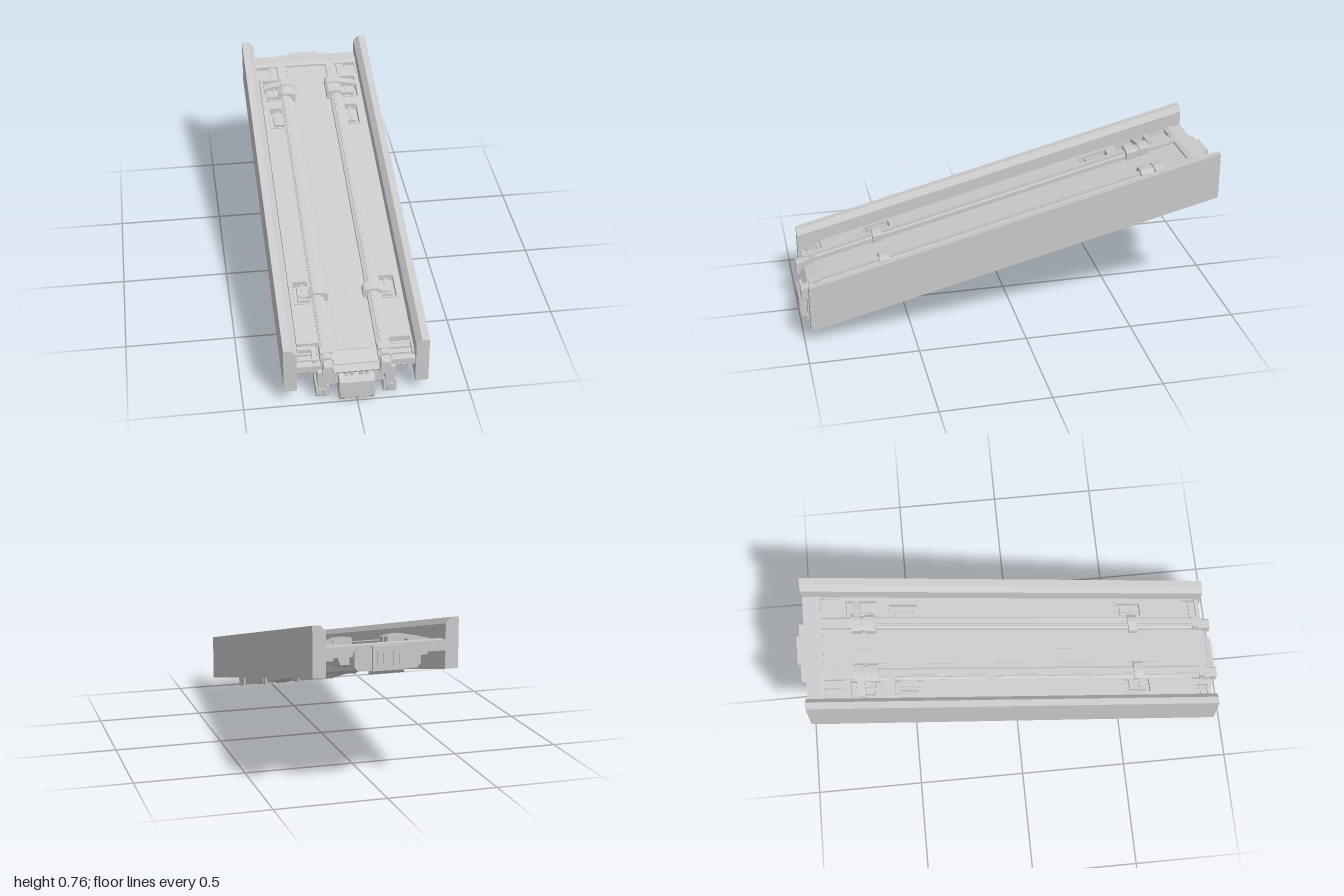
import * as THREE from 'three';

const SLOPE = 0.2495;

export function createModel() {
  const model = new THREE.Group();
  const mat = new THREE.MeshStandardMaterial({ color: 0xcccccc, flatShading: true, side: THREE.DoubleSide });
  // parts are laid out level, then sheared onto the ramp so that end faces stay vertical
  const shear = new THREE.Matrix4().set(1, 0, 0, 0, 0, 1, -SLOPE, SLOPE * 0.97, 0, 0, 1, 0, 0, 0, 0, 1);

  function add(name, geo) {
    geo.applyMatrix4(shear);
    geo.computeVertexNormals();
    const mesh = new THREE.Mesh(geo, mat);
    mesh.name = name;
    model.add(mesh);
  }
  // box given by its limits
  function box(name, x0, x1, y0, y1, z0, z1) {
    const g = new THREE.BoxGeometry(Math.abs(x1 - x0), y1 - y0, z1 - z0);
    add(name, g.translate((x0 + x1) / 2, (y0 + y1) / 2, (z0 + z1) / 2));
  }
  const pair = (name, x0, x1, ...r) => {
    for (const s of [-1, 1]) box(name, s * x0, s * x1, ...r);
  };
  const extrude = (shape, depth) => new THREE.ExtrudeGeometry(shape, { depth, bevelEnabled: false });
  const shapeOf = pts => new THREE.Shape(pts.map(p => new THREE.Vector2(p[0], p[1])));
  // x-y section drawn out along z, mirrored to both sides
  function section(name, pts, z0, z1) {
    for (const s of [-1, 1])
      add(name, extrude(shapeOf(pts.map(p => [s * p[0], p[1]])), z1 - z0).translate(0, 0, z0));
  }
  // z-y side profile drawn out between x0 and x1
  function profile(name, pts, x0, x1) {
    add(name, extrude(shapeOf(pts.map(p => [-p[0], p[1]])), x1 - x0).rotateY(Math.PI / 2).translate(x0, 0, 0));
  }
  function pipe(name, x, y, z0, z1, r) {
    add(name, new THREE.CylinderGeometry(r, r, z1 - z0, 8).rotateX(Math.PI / 2).translate(x, y, (z0 + z1) / 2));
  }

  // side walls with chamfered inner top edge
  section('sideWall', [[0.262, 0.06], [0.32, 0.06], [0.32, 0.283], [0.287, 0.283], [0.262, 0.256]], -0.962, 0.968);

  // deck: floor plate, raised side panels with recessed pockets, lower centre strip
  box('floorPlate', -0.265, 0.265, 0.145, 0.175, -0.9, 0.87);
  const pockets = [[0.16, 0.242, -0.77, -0.62], [0.16, 0.225, -0.57, -0.43], [0.165, 0.235, 0.52, 0.65]];
  for (const s of [-1, 1]) {
    const shape = shapeOf([[s * 0.155, -0.79], [s * 0.25, -0.79], [s * 0.25, 0.86], [s * 0.155, 0.86]]);
    for (const [a, b, c, d] of pockets)
      shape.holes.push(new THREE.Path([[a, c], [b, c], [b, d], [a, d]].map(p => new THREE.Vector2(s * p[0], p[1]))));
    add('sidePanel', extrude(shape, 0.027).rotateX(Math.PI / 2).translate(0, 0.202, 0));
  }
  pair('edgeLedge', 0.253, 0.264, 0.16, 0.185, -0.88, 0.93);
  pair('rearStep', 0.158, 0.19, 0.17, 0.186, -0.88, -0.79);
  profile('centreDeck', [[-0.9, 0.14], [0.97, 0.14], [0.975, 0.15], [0.95, 0.175], [0.9, 0.183], [-0.9, 0.183]], -0.1, 0.1);
  box('centreStrip', -0.07, 0.07, 0.18, 0.186, -0.86, 0.89);
  box('centreSeam', -0.001, 0.001, 0.18, 0.187, -0.86, -0.45);
  box('centreSeam', -0.001, 0.001, 0.18, 0.187, 0.1, 0.6);

  // pocket rims and the latch inside each pocket
  for (const [a, b, c, d] of pockets) {
    pair('pocketRim', b - 0.006, b, 0.17, 0.206, c, d);
    for (const z of [c, d - 0.006]) pair('pocketRim', a, b, 0.17, 0.206, z, z + 0.006);
    const m = (c + d) / 2;
    pair('pocketLatch', a, b - 0.02, 0.17, 0.198, m - 0.04, m + 0.04);
    pair('latchBar', a + 0.018, a + 0.03, 0.19, 0.205, m - 0.045, m + 0.045);
  }

  // cross beams at both ends
  profile('rearBeam', [[-0.962, 0.14], [-0.88, 0.14], [-0.88, 0.192], [-0.9, 0.195], [-0.962, 0.186]], -0.265, 0.265);
  box('frontBeam', -0.265, 0.265, 0.142, 0.162, 0.85, 0.955);
  box('frontBeamLip', -0.265, 0.265, 0.155, 0.175, 0.935, 0.955);
  for (const z of [0.87, 0.9]) pair('frontStep', 0.16, 0.25, 0.155, 0.172, z, z + 0.018);
  // bracket at the front of one side only
  box('frontBracket', -0.25, -0.17, 0.16, 0.19, 0.862, 0.88);
  box('frontBracket', -0.19, -0.17, 0.16, 0.19, 0.88, 0.94);

  // rails with stepped section, low rear tails, end caps and clamps
  section('rail', [[0.098, 0.17], [0.156, 0.17], [0.156, 0.203], [0.146, 0.208], [0.146, 0.216],
    [0.111, 0.216], [0.111, 0.208], [0.098, 0.203]], -0.72, 0.955);
  pair('railTail', 0.104, 0.15, 0.17, 0.194, -0.88, -0.72);
  pair('railGroove', 0.119, 0.138, 0.214, 0.219, -0.7, 0.93);
  section('railCap', [[0.104, 0.14], [0.15, 0.14], [0.15, 0.195], [0.144, 0.203], [0.11, 0.203], [0.104, 0.195]], 0.93, 0.992);
  pair('railCollar', 0.1, 0.155, 0.17, 0.22, 0.9, 0.93);
  for (const z of [-0.745, -0.68, 0.575]) {
    section('railClamp', [[0.08, 0.183], [0.08, 0.218], [0.09, 0.226], [0.125, 0.231], [0.146, 0.229],
      [0.165, 0.215], [0.165, 0.183]], z, z + 0.045);
  }
  section('clampBridge', [[0.086, 0.183], [0.086, 0.217], [0.1, 0.223], [0.14, 0.223], [0.16, 0.21], [0.16, 0.183]], -0.7, -0.68);
  section('clampArm', [[0.145, 0.183], [0.145, 0.226], [0.19, 0.22], [0.235, 0.21], [0.235, 0.183]], -0.73, -0.7);
  section('clampArm', [[0.145, 0.183], [0.145, 0.222], [0.165, 0.212], [0.205, 0.208], [0.205, 0.183]], 0.595, 0.615);

  // tapering support runners and their front feet
  for (const s of [-1, 1]) {
    const x = s * 0.15;
    profile('supportRunner', [[0.955, 0.007], [0.955, 0.15], [-0.02, 0.15], [0.14, 0.044], [0.42, 0.02]], x - 0.02, x + 0.02);
    profile('foot', [[0.86, 0.006], [0.955, 0.003], [0.968, 0.02], [0.968, 0.07], [0.86, 0.07]], x - 0.029, x + 0.029);
    box('footColumn', x - 0.022, x + 0.022, 0.06, 0.15, 0.9, 0.968);
    for (const d of [-0.008, 0.008])
      box('footRib', x + d - 0.005, x + d + 0.005, 0.03, 0.058, 0.96, 0.975);
    for (let i = 0; i < 5; i++)
      box('runnerRib', x - 0.026, x + 0.026, 0.018, 0.06, 0.39 + i * 0.016, 0.398 + i * 0.016);
    // boxes outside the runners
    for (const z of [0.84, 0.62, 0.42])
      profile('sideBox', [[z - 0.06, 0.15], [z - 0.04, 0.08], [z + 0.06, 0.08], [z + 0.075, 0.1], [z + 0.075, 0.15]],
        Math.min(s * 0.17, s * 0.24), Math.max(s * 0.17, s * 0.24));
  }

  // front hitch: bevelled block with framed panel and small teeth
  profile('frontHitch', [[0.62, 0.05], [0.86, 0.01], [0.96, 0.003], [0.985, 0.008], [0.996, 0.03],
    [0.996, 0.112], [0.985, 0.122], [0.62, 0.122]], -0.078, 0.078);
  for (const y of [0.032, 0.074]) box('hitchPanel', -0.073, 0.073, y, y + 0.041, 0.99, 1);
  for (const x of [-0.045, -0.02, 0.02, 0.045]) {
    box('hitchTooth', x - 0.01, x + 0.01, 0.016, 0.025, 0.98, 0.995);
    box('hitchTooth', x - 0.008, x + 0.008, 0.12, 0.14, 0.94, 0.97);
  }
  box('frontSkirt', -0.125, 0.125, 0.062, 0.145, 0.56, 0.95);

  // underside pipes with cross brackets
  for (const x of [-0.06, -0.02, 0.02, 0.06]) {
    pipe('undersidePipe', x, 0.1, -0.3, 0.62, 0.012);
    pipe('undersidePipe', x * 0.85, 0.105, -0.78, -0.3, 0.012);
  }
  for (const z of [0.5, 0.1]) box('pipeBracket', -0.09, 0.09, 0.11, 0.148, z, z + 0.03);
  profile('middleBracket', [[-0.4, 0.148], [-0.34, 0.07], [-0.29, 0.054], [-0.27, 0.07], [-0.22, 0.148]], -0.085, 0.085);
  pair('middleWing', 0.085, 0.2, 0.1, 0.148, -0.36, -0.28);
  section('sideDuct', [[0.1, 0.148], [0.11, 0.105], [0.15, 0.105], [0.165, 0.148]], -0.8, -0.03);
  for (const z of [-0.75, -0.55, -0.1, 0.15, 0.35])
    for (let i = 0; i < 3; i++) pair('crossRib', 0.165, 0.264, 0.125, 0.148, z + i * 0.025, z + i * 0.025 + 0.012);

  // rear hitch: slotted block flanked by two shoulders
  profile('rearHitchHousing', [[-0.962, 0.075], [-0.962, 0.148], [-0.7, 0.148], [-0.76, 0.11]], -0.11, 0.11);
  profile('rearHitch', [[-0.94, 0.06], [-0.985, 0.06], [-0.996, 0.072], [-0.996, 0.178], [-0.94, 0.184]], -0.07, 0.07);
  section('rearShoulder', [[0.07, 0.075], [0.13, 0.075], [0.145, 0.095], [0.145, 0.158], [0.13, 0.174], [0.07, 0.174]], -0.984, -0.94);
  // raised rim around each rear slot
  for (const y of [0.092, 0.15]) pair('rearSlotRim', 0.018, 0.052, y, y + 0.008, -1, -0.99);
  for (const x of [0.018, 0.045]) pair('rearSlotRim', x, x + 0.007, 0.092, 0.158, -1, -0.99);

  return model;
}
